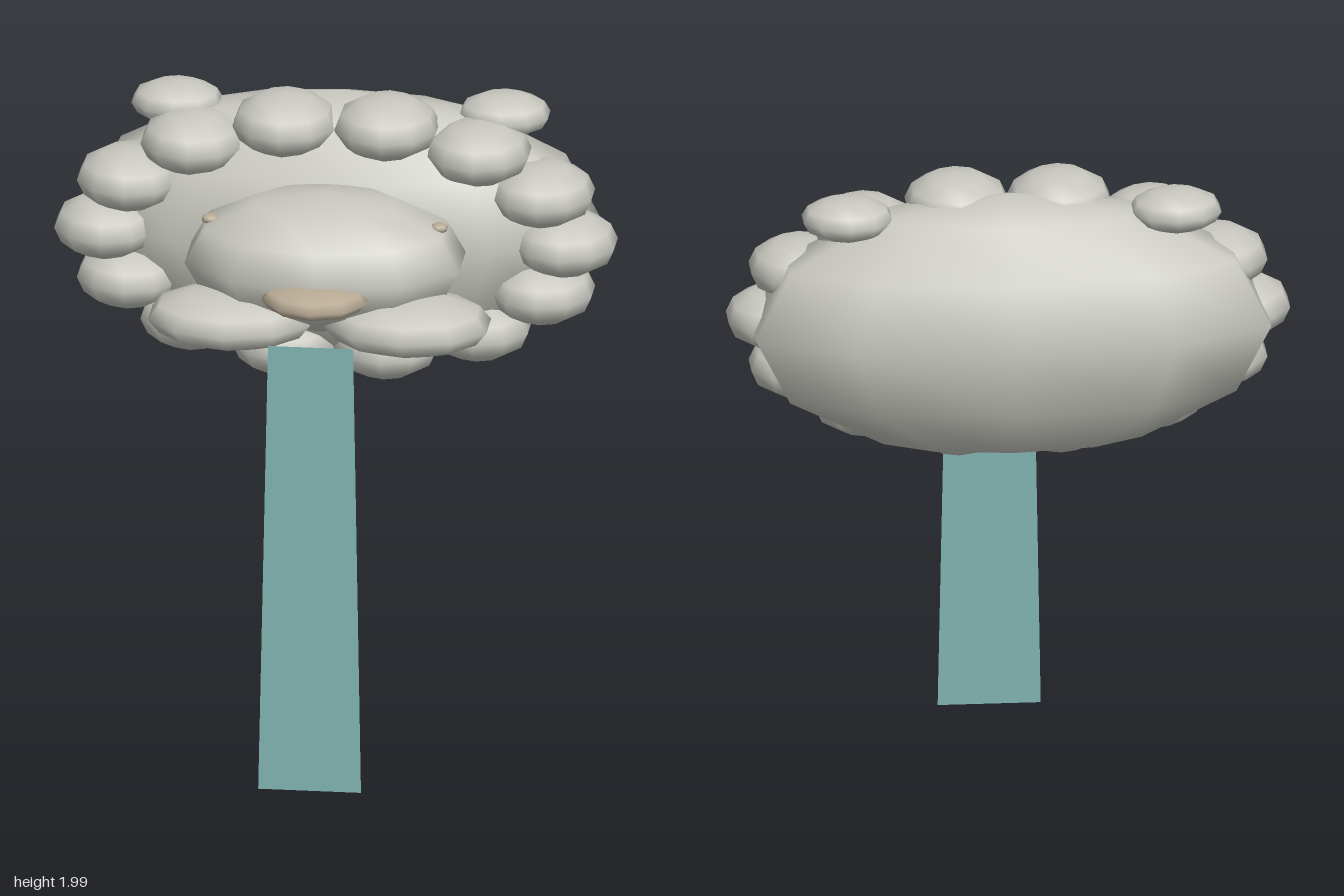
import * as THREE from 'three';

const material = (name, color) => {
  const m = new THREE.MeshStandardMaterial({ color });
  m.name = name;
  return m;
};

export function createModel() {
  const model = new THREE.Group();
  model.name = 'lionHeadSpout';

  const stone = material('stone', 0xc8c8c0);
  const tan = material('tanStone', 0xb8aa94);
  const water = material('water', 0x80b4b2);
  water.side = THREE.DoubleSide;

  // One coarse sphere, turned so a corner points straight forward
  const ball = new THREE.SphereGeometry(1, 10, 6).rotateY(Math.PI / 10);
  const blob = (name, mat, position, radii) => {
    const mesh = new THREE.Mesh(ball, mat);
    mesh.name = name;
    mesh.position.set(...position);
    mesh.scale.set(...radii);
    model.add(mesh);
  };

  // Back of the head, face and nose
  blob('head', stone, [0, 1.545, -0.257], [0.825, 0.42, 0.313]);
  blob('face', stone, [0, 1.575, 0.15], [0.44, 0.21, 0.311]);
  blob('nose', tan, [0, 1.543, 0.407], [0.168, 0.048, 0.162]);

  // Paired parts
  for (const [side, s] of [['left', 1], ['right', -1]]) {
    blob(side + 'Jowl', stone, [s * 0.27, 1.432, 0.303], [0.26, 0.087, 0.207]);
    blob(side + 'Ear', stone, [s * 0.5, 1.905, -0.272], [0.143, 0.065, 0.127]);
    blob(side + 'Eye', tan, [s * 0.35, 1.69, 0.16], [0.027, 0.016, 0.026]);
  }

  // Ring of mane curls
  const curls = 14;
  for (let i = 0; i < curls; i++) {
    const a = ((i + 0.5) / curls) * Math.PI * 2;
    blob('maneCurl' + (i + 1), stone,
      [0.7 * Math.sin(a), 1.545 + 0.363 * Math.cos(a), -0.14], [0.163, 0.095, 0.178]);
  }

  // Falling sheet of water, wider and slightly forward at the bottom
  const sheet = new THREE.BufferGeometry();
  sheet.setAttribute('position', new THREE.Float32BufferAttribute([
    -0.157, 0, 0.567, 0.157, 0, 0.567, 0.13, 1.43, 0.541, -0.13, 1.43, 0.541,
  ], 3));
  sheet.setIndex([0, 1, 2, 0, 2, 3]);
  sheet.computeVertexNormals();
  const stream = new THREE.Mesh(sheet, water);
  stream.name = 'waterStream';
  model.add(stream);

  return model;
}
